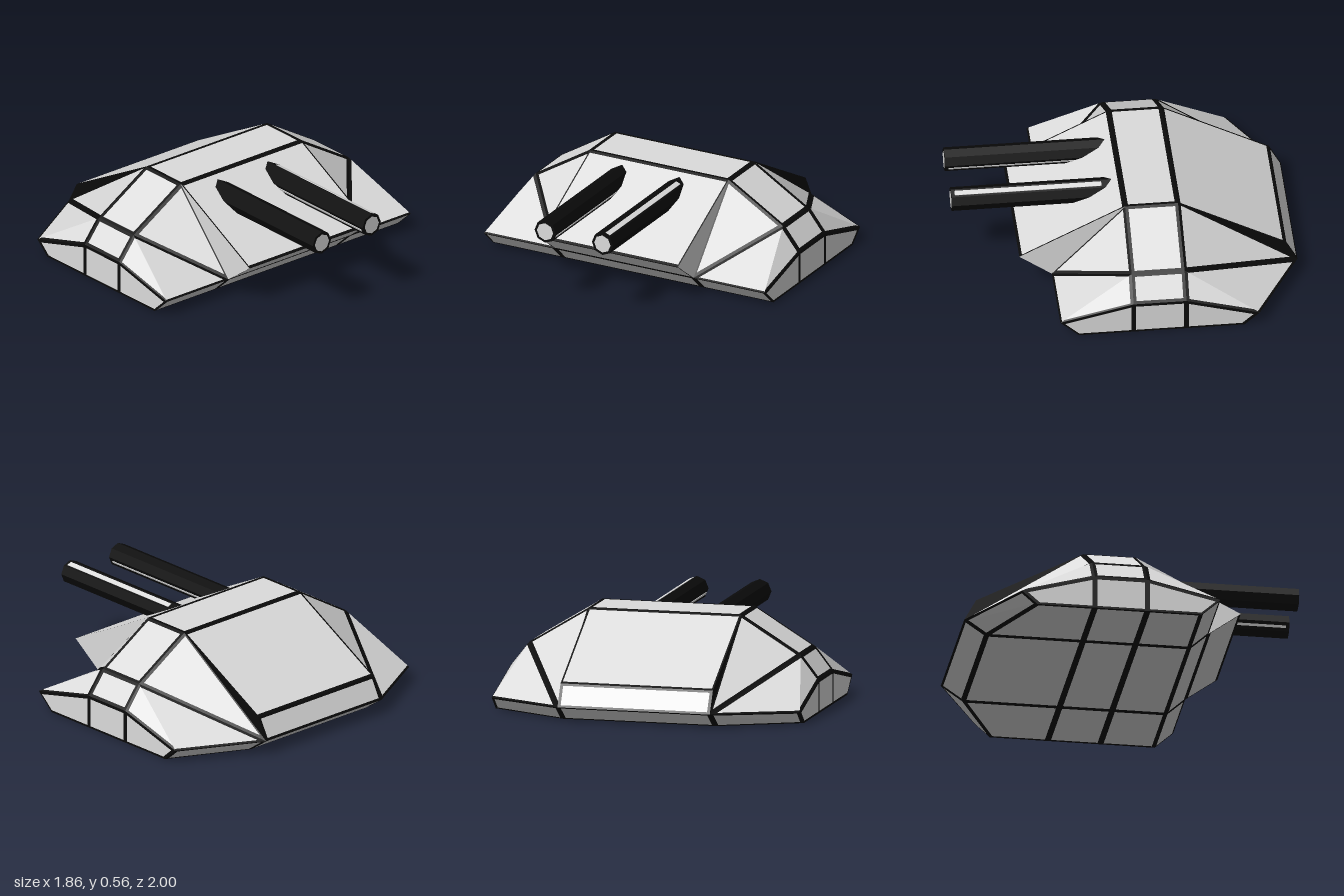
import * as THREE from 'three';

const armour = new THREE.MeshStandardMaterial({ color: 0xdcdcdc });
armour.name = 'pale armour';
const seam = new THREE.MeshStandardMaterial({ color: 0x0a0a0a });
seam.name = 'black seam';

const v = (x, y, z) => new THREE.Vector3(x, y, z);
const CORE = v(0, 0.2, -0.15);
const W = 0.018; // half width of a full seam
const THIN = 0.008;

// hull corners on the +x side
const P = {
  roofF: v(0.46, 0.56, 0.01), roofB: v(0.46, 0.56, -0.3),
  hipF: v(0.82, 0.34, 0.01), hipB: v(0.82, 0.34, -0.3),
  sideF: v(0.93, 0.2, 0.01), sideB: v(0.93, 0.2, -0.3),
  nose: v(0.46, 0.24, 0.63), chin: v(0.46, 0.1, 0.44), cheek: v(0.93, 0.1, 0.44),
  floorIn: v(0.46, 0, 0.33), floorOut: v(0.93, 0, 0.33),
  keelF: v(0.46, 0, 0.01), keelB: v(0.46, 0, -0.3),
  sillF: v(0.93, 0, 0.01), sillB: v(0.93, 0, -0.3),
  tailTop: v(0.46, 0.22, -0.93), tail: v(0.46, 0.09, -1), tailFloor: v(0.46, 0, -0.87),
  rearOut: v(0.93, 0.08, -0.73), rearFloor: v(0.93, 0, -0.64),
};
const flip = (p) => v(-p.x, p.y, p.z);

// collects convex plates, each a pale centre with a black border
class Plates {
  constructor() { this.pale = []; this.dark = []; }

  // widths[i] is the border along the edge from point i to point i + 1
  add(pts, widths) {
    const n = pts.length;
    const normal = v(0, 0, 0), mid = v(0, 0, 0);
    pts.forEach((p, i) => {
      normal.add(p.clone().cross(pts[(i + 1) % n]));
      mid.addScaledVector(p, 1 / n);
    });
    const outward = normal.dot(mid.clone().sub(CORE)) > 0;
    const inner = pts.map((p, i) => {
      const k = (i + n - 1) % n;
      const a = p.clone().sub(pts[k]).normalize();
      const b = pts[(i + 1) % n].clone().sub(p).normalize();
      const s = a.clone().cross(b).length();
      return p.clone().addScaledVector(a, -widths[i] / s).addScaledVector(b, widths[k] / s);
    });
    const tri = (list, a, b, c) => list.push(...(outward ? [a, b, c] : [a, c, b]));
    for (let i = 0; i < n; i++) {
      const j = (i + 1) % n;
      tri(this.dark, pts[i], pts[j], inner[j]);
      tri(this.dark, pts[i], inner[j], inner[i]);
      if (i > 0 && i < n - 1) tri(this.pale, inner[0], inner[i], inner[j]);
    }
  }

  // the same plate on both sides of the hull
  pair(names, widths = names.map(() => W)) {
    const pts = names.map((k) => P[k]);
    this.add(pts, widths);
    this.add(pts.map(flip), widths);
  }

  // a plate across the middle, between edges a and b
  across(a, b, across = W, side = W) {
    this.add([P[a], P[b], flip(P[b]), flip(P[a])], [side, across, side, across]);
  }

  // a plain black triangle on both sides
  wall(names) {
    const t = names.map((k) => P[k]);
    const facesOut = t[1].clone().sub(t[0]).cross(t[2].clone().sub(t[0])).x > 0;
    const [a, b, c] = facesOut ? t : [t[0], t[2], t[1]];
    this.dark.push(a, b, c, flip(a), flip(c), flip(b));
  }

  mesh(name) {
    const geo = new THREE.BufferGeometry().setFromPoints([...this.pale, ...this.dark]);
    geo.addGroup(0, this.pale.length, 0);
    geo.addGroup(this.pale.length, this.dark.length, 1);
    geo.computeVertexNormals();
    const m = new THREE.Mesh(geo, [armour, seam]);
    m.name = name;
    return m;
  }
}

// octagonal gun barrel, pale on chosen sides and at the muzzle
function barrel(name, x, stripes) {
  const g = new THREE.Group();
  g.name = name;
  const R = 0.07, back = 0.05, front = 1;
  const tube = new THREE.Mesh(
    new THREE.CylinderGeometry(R, R, front - back, 8).toNonIndexed().rotateX(Math.PI / 2), seam);
  tube.geometry.computeVertexNormals();
  tube.position.z = (front + back) / 2;
  tube.name = 'barrelTube';
  const muzzle = new THREE.Mesh(new THREE.CircleGeometry(0.054, 8), armour);
  muzzle.position.z = front + 0.001;
  muzzle.name = 'muzzleFace';
  g.add(tube, muzzle);
  for (const [deg, width] of stripes) {
    const a = THREE.MathUtils.degToRad(deg);
    const r = R * Math.cos(Math.PI / 8) + 0.001;
    const strip = new THREE.Mesh(new THREE.BoxGeometry(0.004, width, 0.86), armour);
    strip.position.set(Math.cos(a) * r, Math.sin(a) * r, 0.55);
    strip.rotation.z = a;
    strip.name = 'barrelStripe';
    g.add(strip);
  }
  g.position.set(x, 0.465, 0);
  return g;
}

export function createModel() {
  const model = new THREE.Group();
  model.name = 'turret';

  // roof and its sloping shoulders
  const roof = new Plates();
  roof.across('roofF', 'roofB');
  roof.pair(['roofF', 'hipF', 'hipB', 'roofB']);
  roof.pair(['hipF', 'sideF', 'sideB', 'hipB']);

  // nose wedge and the lower cheeks beside it
  const front = new Plates();
  front.across('roofF', 'nose', W, THIN);
  front.across('nose', 'chin', W, THIN);
  front.across('chin', 'floorIn', 0.014);
  front.pair(['roofF', 'nose', 'chin'], [0, 0, 0]);
  front.pair(['roofF', 'hipF', 'chin'], [W, W, THIN]);
  front.pair(['hipF', 'cheek', 'chin'], [0, 0.012, W]);
  front.pair(['hipF', 'sideF', 'cheek'], [W, 0.01, 0]);
  front.pair(['chin', 'cheek', 'floorOut', 'floorIn'], [0.012, 0.012, 0.012, W]);

  // upright flanks
  const sides = new Plates();
  sides.pair(['sideF', 'cheek', 'floorOut', 'sillF'], [W, 0.01, 0.012, 0.014]);
  sides.pair(['sideF', 'sideB', 'sillB', 'sillF'], [W, 0.014, 0.012, 0.014]);
  sides.pair(['sideB', 'rearOut', 'rearFloor', 'sillB'], [W, W, 0.012, 0.014]);

  // raised back plate with its tail band and corners
  const rear = new Plates();
  rear.across('roofB', 'tailTop', W, 0.01);
  rear.across('tailTop', 'tail', 0.014, W);
  rear.across('tail', 'tailFloor', 0.014);
  rear.wall(['roofB', 'tailTop', 'tail']);
  rear.pair(['roofB', 'hipB', 'tail'], [W, W, 0.008]);
  rear.pair(['hipB', 'rearOut', 'tail'], [0, 0.014, W]);
  rear.pair(['hipB', 'sideB', 'rearOut'], [W, 0.014, 0]);
  rear.pair(['tail', 'rearOut', 'rearFloor', 'tailFloor'], [0.014, W, 0.012, W]);

  // flat underside in nine panels
  const under = new Plates();
  under.across('floorIn', 'keelF');
  under.across('keelF', 'keelB');
  under.across('keelB', 'tailFloor');
  under.pair(['floorIn', 'floorOut', 'sillF', 'keelF']);
  under.pair(['keelF', 'sillF', 'sillB', 'keelB']);
  under.pair(['keelB', 'sillB', 'rearFloor', 'tailFloor']);

  model.add(
    roof.mesh('roof'), front.mesh('frontPlates'), sides.mesh('flanks'),
    rear.mesh('rearPlates'), under.mesh('underside'),
    barrel('rightBarrel', -0.22, [[-22.5, 0.012]]),
    barrel('leftBarrel', 0.16, [[67.5, 0.03], [202.5, 0.015]]),
  );
  return model;
}
